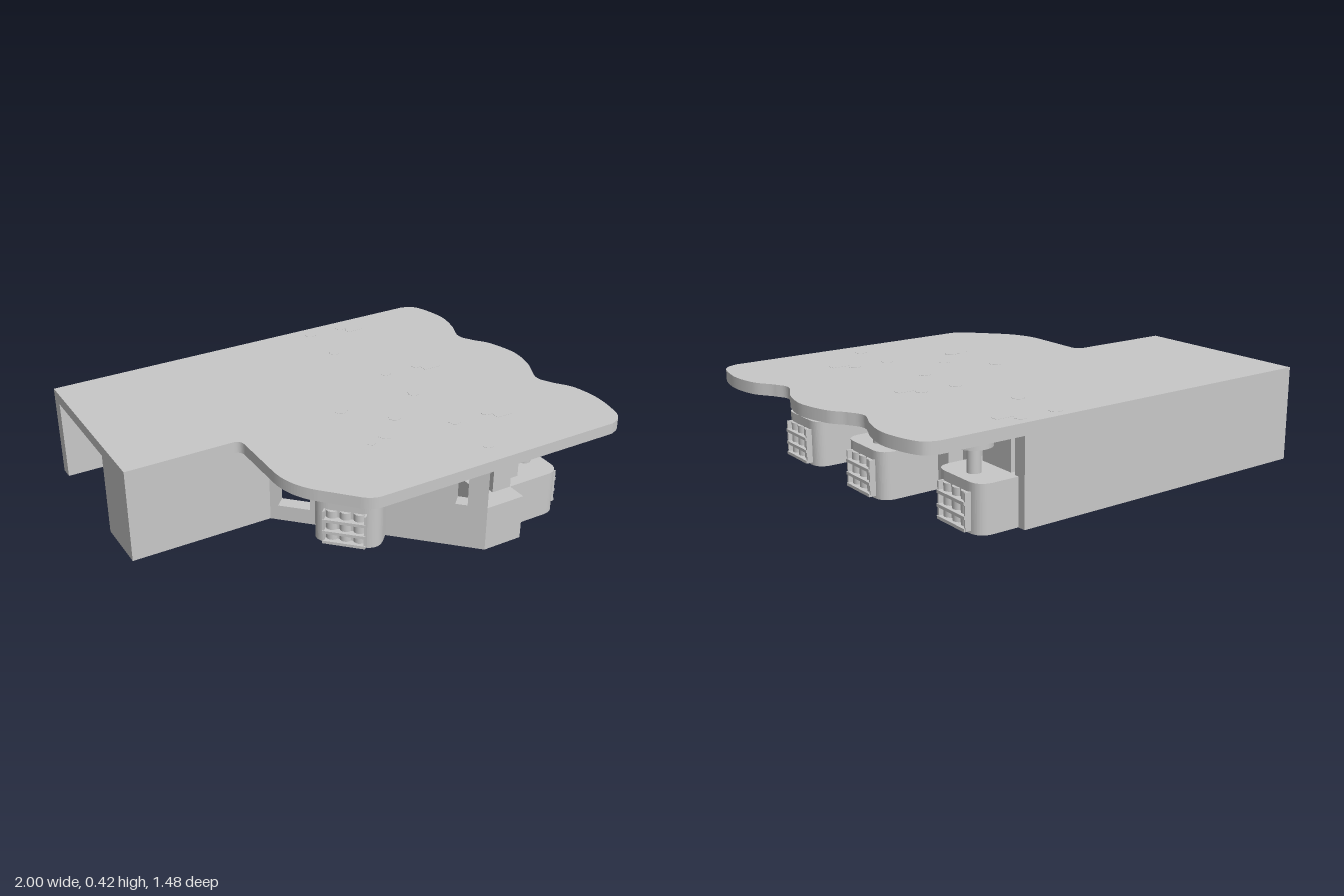
import * as THREE from 'three';

const grey = new THREE.MeshStandardMaterial({ color: 0xc8c8c8 });
grey.name = 'grey';

const TOP = 0.415, UNDER = 0.365, LOW = 0.2, THICK = 0.06;

function add(parent, name, geometry, x = 0, y = 0, z = 0) {
  const mesh = new THREE.Mesh(geometry, grey);
  mesh.name = name;
  mesh.position.set(x, y, z);
  parent.add(mesh);
  return mesh;
}

// box given by its limits on each axis
function block(parent, name, x0, x1, y0, y1, z0, z1) {
  return add(parent, name, new THREE.BoxGeometry(x1 - x0, y1 - y0, z1 - z0),
    (x0 + x1) / 2, (y0 + y1) / 2, (z0 + z1) / 2);
}

function rod(parent, name, r, y0, y1, x, z, sides = 32) {
  return add(parent, name, new THREE.CylinderGeometry(r, r, y1 - y0, sides), x, (y0 + y1) / 2, z);
}

// plan outline (x, z) extruded downwards from its own origin
function slab(shape, depth) {
  return new THREE.ExtrudeGeometry(shape, { depth, bevelEnabled: false, curveSegments: 16 }).rotateX(Math.PI / 2);
}

// upright wall between two plan points, with rectangular windows [s0, s1, y0, y1]
function wall(parent, name, x0, z0, x1, z1, side, thick, windows = [], notch = null) {
  const length = Math.hypot(x1 - x0, z1 - z0);
  const shape = new THREE.Shape();
  shape.moveTo(0, 0).lineTo(length, 0).lineTo(length, UNDER);
  if (notch) {
    shape.lineTo(notch[1], UNDER).lineTo(notch[1], LOW).lineTo(notch[0], LOW).lineTo(notch[0], UNDER);
  }
  shape.lineTo(0, UNDER).closePath();
  for (const [a, b, c, d] of windows) {
    shape.holes.push(new THREE.Path().moveTo(a, c).lineTo(a, d).lineTo(b, d).lineTo(b, c).closePath());
  }
  const geometry = new THREE.ExtrudeGeometry(shape, { depth: thick, bevelEnabled: false });
  geometry.translate(0, 0, side < 0 ? -thick : 0);
  add(parent, name, geometry, x0, 0, z0).rotation.y = -Math.atan2(z1 - z0, x1 - x0);
}

// cover plate with a wavy knuckle edge
function coverPlate() {
  const s = new THREE.Shape();
  const v = (x, z) => new THREE.Vector2(x, z);
  s.moveTo(-1, -0.742).lineTo(0.82, -0.742);
  s.splineThru([v(0.875, -0.715), v(0.908, -0.64), v(0.925, -0.53), v(0.905, -0.42), v(0.865, -0.31),
    v(0.895, -0.235), v(0.945, -0.16), v(0.978, -0.02), v(0.955, 0.11), v(0.9, 0.235), v(0.925, 0.31),
    v(0.98, 0.4), v(1, 0.53), v(0.98, 0.66), v(0.95, 0.715), v(0.9, 0.74)]);
  s.lineTo(-0.23, 0.74).quadraticCurveTo(-0.275, 0.74, -0.31, 0.7).lineTo(-0.42, 0.58);
  s.quadraticCurveTo(-0.5, 0.49, -0.5, 0.37).lineTo(-0.5, 0.13);
  s.quadraticCurveTo(-0.5, 0.09, -0.54, 0.09).lineTo(-1, 0.09).closePath();
  return slab(s, TOP - UNDER);
}

// finger drive: local +x points out of the palm
function driveUnit(parent, name, x, z, angle) {
  const unit = new THREE.Group();
  unit.name = name;
  unit.position.set(x, 0, z);
  unit.rotation.y = -angle;
  parent.add(unit);

  // rounded motor housing
  const w = 0.143, r = 0.07, end = 0.4;
  const plan = new THREE.Shape();
  plan.moveTo(0, -w).lineTo(end - r, -w).quadraticCurveTo(end, -w, end, -w + r);
  plan.lineTo(end, w - r).quadraticCurveTo(end, w, end - r, w).lineTo(0, w).closePath();
  add(unit, 'motorHousing', slab(plan, LOW), 0, LOW, 0);

  // ribbed hinge on the tip
  for (const v of [-0.058, 0, 0.058]) rod(unit, 'hingePin', 0.027, 0.012, 0.16, 0.388, v, 16);
  for (const y of [0.012, 0.06, 0.115]) block(unit, 'hingeRib', 0.38, 0.43, y, y + 0.013, -0.09, 0.09);
  for (const v of [-0.087, 0.087]) block(unit, 'hingeCheek', 0.38, 0.425, 0.012, 0.163, v - 0.004, v + 0.004);

  // full-height wall behind the drive, bracket, shaft and pulley
  block(unit, 'pocketWall', 0.045, 0.135, LOW, UNDER, -w, w);
  block(unit, 'bracket', 0.135, 0.215, LOW, UNDER, -0.09, 0.09);
  rod(unit, 'shaft', 0.028, LOW, UNDER, 0.32, 0);
  rod(unit, 'pulley', 0.075, 0.305, 0.345, 0.32, 0);
  rod(unit, 'pulleyHub', 0.045, 0.345, UNDER, 0.32, 0);

  // screw heads and locating key on the cover plate
  for (const [u, v] of [[0.025, -0.115], [0.19, -0.115], [0.025, 0.115]]) {
    rod(unit, 'screwHead', 0.026, TOP - 0.002, TOP + 0.001, u, v, 20);
  }
  block(unit, 'locatingKey', 0.2, 0.28, TOP - 0.002, TOP + 0.001, -0.088, -0.052);
  return unit;
}

export function createModel() {
  const model = new THREE.Group();
  model.name = 'mechanicalPalm';

  add(model, 'coverPlate', coverPlate(), 0, TOP, 0);

  // forearm channel
  wall(model, 'backWall', -1, -0.742, 0.45, -0.742, 1, THICK);
  wall(model, 'frontWall', -1, 0.09, -0.375, 0.09, -1, THICK);
  block(model, 'mountingPad', -1, -0.92, 0, UNDER, -0.16, 0.031);

  // diagonal thumb wall with two windows and an opening above the drive
  wall(model, 'thumbWall', -0.375, 0.09, 0.228, 0.698, -1, THICK,
    [[0.035, 0.175, 0.07, 0.34], [0.785, 0.835, LOW, 0.34]], [0.217, 0.5]);

  // squared-off end of the thumb wall and the low step beside the front finger
  const corner = new THREE.Shape().moveTo(0.228, 0.698).lineTo(0.27, 0.656).lineTo(0.27, 0.74).closePath();
  add(model, 'thumbWallEnd', slab(corner, UNDER), 0, UNDER, 0);
  block(model, 'frontStep', 0.27, 0.45, 0, LOW, 0.64, 0.74);

  // walls between the fingers, one recessed and one with an open window
  wall(model, 'knuckleWall', 0.45, 0.115, 0.45, 0.368, 1, 0.09, [[0.075, 0.18, 0.07, 0.34]]);
  block(model, 'recessBack', 0.355, 0.365, 0.06, 0.35, 0.17, 0.31);
  wall(model, 'knuckleWall', 0.45, -0.42, 0.45, -0.167, 1, 0.09, [[0.075, 0.175, 0.07, 0.34]]);

  driveUnit(model, 'frontFingerDrive', 0.315, 0.51, 0);
  driveUnit(model, 'middleFingerDrive', 0.315, -0.025, 0);
  driveUnit(model, 'backFingerDrive', 0.23, -0.562, 0);

  // thumb drive sits in a pocket with full-height sides
  const thumb = driveUnit(model, 'thumbDrive', 0.08, 0.14, Math.PI * 0.75);
  for (const v of [-0.15, 0.15]) block(thumb, 'pocketSide', 0.045, 0.25, 0, UNDER, v - 0.008, v + 0.008);

  return model;
}
